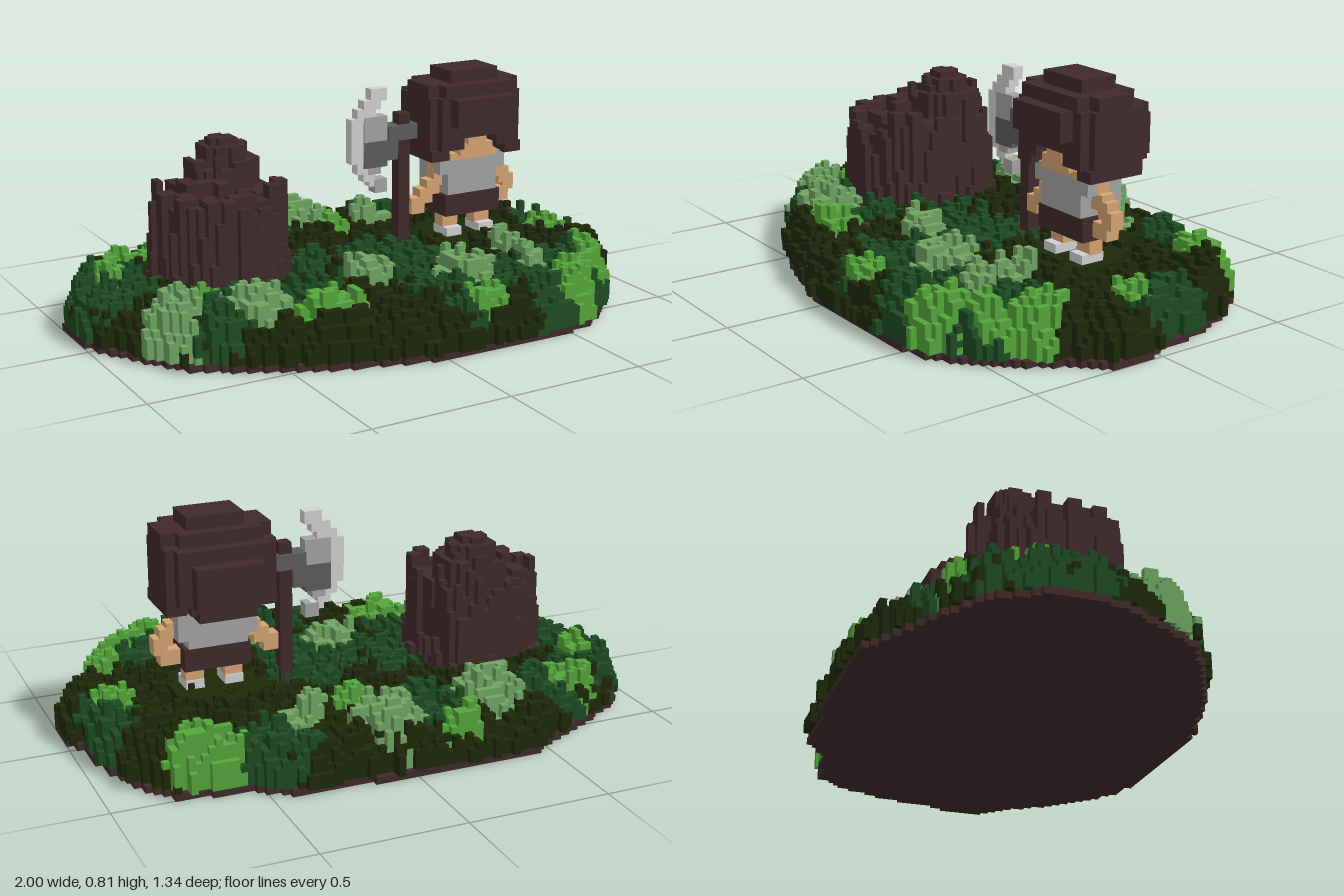
import * as THREE from 'three';
import { mergeGeometries } from 'three/addons/utils/BufferGeometryUtils.js';

const V = 2 / 85, NX = 85, NZ = 57; // voxel size and grid

// outline of the island, x,z pairs
const RIM = [[-.45, -.64], [-.1, -.65], [.2, -.635], [.42, -.62], [.54, -.54], [.78, -.5], [.86, -.39], [.94, -.2], [.95, -.03],
  [1, .04], [1, .18], [.92, .26], [.82, .42], [.7, .54], [.58, .63], [.3, .66], [0, .655], [-.2, .6], [-.4, .54], [-.6, .44],
  [-.78, .33], [-.86, .22], [-.93, .1], [-.98, 0], [-1, -.06], [-1, -.22], [-.9, -.39], [-.76, -.47], [-.6, -.55]];

// foliage clumps: x, z, rx, rz
const GREEN = [[-.85, -.2, .17, .22], [-.6, -.42, .14, .1], [-.13, -.45, .11, .12], [.45, -.5, .14, .1], [.08, .08, .22, .22],
  [-.2, -.02, .12, .14], [-.62, .26, .22, .14], [.13, .42, .15, .18], [.55, .45, .3, .24], [.9, -.1, .1, .16], [-.3, .28, .13, .13]];
const BRIGHT = [[-.7, -.4, .09, .07], [-.83, -.23, .04, .08], [-.19, -.59, .08, .04], [.12, -.35, .06, .07], [.67, -.46, .12, .08],
  [.84, 0, .07, .07], [.79, .35, .07, .1], [-.3, .4, .13, .07], [-.64, .16, .05, .04], [.2, .57, .09, .05], [.57, .55, .09, .08], [.7, .46, .07, .05]];
const PALE = [[-.35, -.46, .11, .1], [.05, -.49, .12, .12], [.3, -.39, .07, .06], [-.78, .22, .09, .12], [-.52, .3, .11, .12],
  [-.04, .2, .1, .07], [.27, .32, .1, .11], [.52, .22, .06, .08], [.52, .36, .05, .06]];

const hash = (i, j) => {
  const s = Math.sin(i * 127.1 + j * 311.7) * 43758.5453;
  return s - Math.floor(s);
};

const noise = (x, z) => { // smooth value noise, 0..1
  const i = Math.floor(x), j = Math.floor(z), f = x - i, g = z - j;
  const u = f * f * (3 - 2 * f), w = g * g * (3 - 2 * g), mix = THREE.MathUtils.lerp;
  return mix(mix(hash(i, j), hash(i + 1, j), u), mix(hash(i, j + 1), hash(i + 1, j + 1), u), w);
};

// distance inside the rim, negative outside
function rimDepth(x, z) {
  let best = 9, inside = false;
  RIM.forEach(([ax, az], n) => {
    const [bx, bz] = RIM[(n + 1) % RIM.length], dx = bx - ax, dz = bz - az;
    const t = THREE.MathUtils.clamp(((x - ax) * dx + (z - az) * dz) / (dx * dx + dz * dz), 0, 1);
    best = Math.min(best, Math.hypot(x - ax - dx * t, z - az - dz * t));
    if (az > z !== bz > z && x < ax + (z - az) * dx / dz) inside = !inside;
  });
  return inside ? best : -best;
}

// strength of the nearest clump, above 0 inside it
const clump = (list, x, z) => Math.max(...list.map(([cx, cz, rx, rz]) => 1 - ((x - cx) / rx) ** 2 - ((z - cz) / rz) ** 2));

// mesh of the exposed voxel faces; cell() gives a material number or -1
function voxelMesh(name, mats, height, cell) {
  const faces = mats.map(() => []), normals = mats.map(() => []);
  for (let i = 0; i < NX; i++) for (let j = 0; j < height; j++) for (let k = 0; k < NZ; k++) {
    const m = cell(i, j, k);
    if (m < 0) continue;
    for (let a = 0; a < 3; a++) for (const s of [1, -1]) {
      const n = [0, 0, 0];
      n[a] = s;
      if (cell(i + n[0], j + n[1], k + n[2]) >= 0) continue;
      const c = [[0, 0], [1, 0], [1, 1], [0, 1]].map(([u, v]) => {
        const p = [i - NX / 2, j, k - NZ / 2];
        p[a] += s > 0 ? 1 : 0;
        p[(a + 1) % 3] += u;
        p[(a + 2) % 3] += v;
        return p.map(q => q * V);
      });
      for (const q of s > 0 ? [0, 1, 2, 0, 2, 3] : [0, 2, 1, 0, 3, 2]) {
        faces[m].push(...c[q]);
        normals[m].push(...n);
      }
    }
  }
  const geo = new THREE.BufferGeometry();
  let start = 0;
  faces.forEach((f, m) => {
    geo.addGroup(start, f.length / 3, m);
    start += f.length / 3;
  });
  geo.setAttribute('position', new THREE.Float32BufferAttribute(faces.flat(), 3));
  geo.setAttribute('normal', new THREE.Float32BufferAttribute(normals.flat(), 3));
  const mesh = new THREE.Mesh(geo, mats);
  mesh.name = name;
  return mesh;
}

// mesh of boxes given as x0, x1, y0, y1, z0, z1
function boxes(name, mat, list) {
  const mesh = new THREE.Mesh(mergeGeometries(list.map(([a, b, c, d, e, f]) =>
    new THREE.BoxGeometry(b - a, d - c, f - e).translate((a + b) / 2, (c + d) / 2, (e + f) / 2))), mat);
  mesh.name = name;
  return mesh;
}

export function createModel() {
  const mat = (name, color) => Object.assign(new THREE.MeshStandardMaterial({ color }), { name });
  const brown = mat('dark brown', 0x402a2c), olive = mat('dark olive', 0x1e290a), green = mat('forest green', 0x1d4b22);
  const bright = mat('bright green', 0x54a63b), pale = mat('pale green', 0x6fa562), skin = mat('skin', 0xd6a473);
  const light = mat('light grey', 0xd2d2d2), grey = mat('mid grey', 0xa4a4a4), dark = mat('dark grey', 0x5d5d5f);
  const group = new THREE.Group();
  group.name = 'forestDiorama';

  // ground: one soil layer, then foliage columns with ragged patches of colour
  const cols = [];
  for (let i = 0; i < NX; i++) for (let k = 0; k < NZ; k++) {
    const x = (i + .5 - NX / 2) * V, z = (k + .5 - NZ / 2) * V;
    const d = rimDepth(x, z);
    const p = clump(PALE, x, z), b = clump(BRIGHT, x, z), g = clump(GREEN, x, z);
    const typeAt = j => {
      const wob = (noise(x * 14 + 50 + j * .35, z * 14 + 50 - j * .2) - .5) * 1.2 + (noise(x * 30 + 9, z * 30 + j * .5) - .5) * .7;
      return p + wob * .7 > 0 ? 3 : b + wob * .75 > 0 ? 2 : g + wob > 0 ? 1 : 0;
    };
    let h = 5.2 + .6 * Math.min(1, d / .3) + (hash(i, k) - .5) * 2.8 + (noise(x * 12, z * 12) - .4) * 2.4;
    h += [0, .4, .8 + Math.min(b, 1), 1 + 2 * Math.min(p, 1)][typeAt(7)];
    h *= Math.min(1, .45 + Math.max(d, 0) / .07);
    if (Math.hypot(x - .48, z + .05) < .17) h = THREE.MathUtils.clamp(h, 6.6, 7.6);
    cols.push({ typeAt, d, top: d > (hash(k, i) - .55) * .035 ? Math.max(1, Math.round(h)) : 0 });
  }
  group.add(voxelMesh('mossyGround', [olive, green, bright, pale, brown], 14, (i, j, k) => {
    if (i < 0 || j < 0 || k < 0 || i >= NX || k >= NZ) return -1;
    const c = cols[i * NZ + k];
    if (j === 0) return c.d > .002 ? 4 : -1;
    return j <= c.top ? c.typeAt(j) : -1;
  }));

  // broken tree stump with ragged strips of bark
  group.add(voxelMesh('treeStump', [brown], 30, (i, j, k) => {
    const x = (i + .5 - NX / 2) * V, z = (k + .5 - NZ / 2) * V, y = (j + .5) * V;
    if (y < .1) return -1;
    const strip = hash(i >> 1, (k >> 1) + 9);
    const r = 1.09 - .36 * (y - .15) + (strip - .5) * .14;
    const body = Math.hypot((x + .495) / .215, (z + .035) / .215) < r;
    const lobe = Math.hypot((x + .375) / .095, (z + .2) / .1) < r - .5 * (y - .2);
    if (!body && !lobe) return -1;
    const peak = Math.hypot(x + .43, z + .15);
    const top = peak < .045 ? .645 : peak < .08 ? .605 : peak < .125 ? .54 + strip * .05 : .43 + strip * .085;
    return y < top ? 0 : -1;
  }));

  // figure
  const figure = new THREE.Group();
  figure.name = 'figure';
  figure.add(boxes('hair', brown, [
    [.4, .6, .765, .81, -.12, .02],
    [.305, .69, .72, .765, -.12, .02], [.35, .64, .72, .765, -.165, .07],
    [.305, .69, .57, .72, -.165, .035], [.335, .66, .57, .72, -.21, .07], [.37, .62, .62, .72, -.21, .12],
    [.38, .615, .53, .67, -.26, -.12], [.4, .6, .48, .53, -.235, -.165],
    [.305, .43, .53, .57, -.165, .035], [.57, .69, .53, .57, -.165, .035],
    [.335, .43, .53, .57, -.21, .07], [.57, .66, .53, .57, -.21, .07],
    [.305, .38, .49, .53, -.165, .05], [.62, .69, .49, .53, -.165, .05],
    [.43, .57, .53, .57, -.21, -.05], [.38, .62, .5, .53, -.21, -.1]]));
  figure.add(boxes('neck', skin, [[.46, .54, .53, .575, -.05, .05], [.43, .57, .5, .54, -.1, .045], [.4, .6, .48, .505, -.1, .026]]));
  figure.add(boxes('shirt', grey, [[.395, .605, .35, .48, -.12, .02],
    [.36, .64, .43, .495, -.02, .02], [.36, .64, .38, .475, -.12, -.072]]));
  figure.add(boxes('trousers', brown, [[.385, .62, .27, .35, -.12, .022]]));
  figure.add(boxes('legs', skin, [[.4, .465, .215, .27, -.075, -.02], [.54, .605, .215, .27, -.075, -.02]]));
  figure.add(boxes('shoes', light, [[.4, .465, .17, .22, -.08, .01], [.54, .605, .17, .22, -.08, .01]]));
  figure.add(boxes('rightArm', skin, [[.36, .4, .435, .5, -.072, -.02], [.36, .41, .38, .435, -.072, -.02],
    [.33, .385, .35, .405, -.072, -.02], [.3, .355, .32, .375, -.072, -.02], [.265, .32, .285, .345, -.072, -.02]]));
  figure.add(boxes('leftArm', skin, [[.6, .64, .435, .5, -.072, -.02], [.61, .665, .38, .435, -.072, -.02],
    [.645, .69, .355, .415, -.072, -.02], [.665, .712, .325, .385, -.072, -.02], [.62, .69, .285, .34, -.072, -.02]]));
  group.add(figure);

  // standing battle axe
  const axe = new THREE.Group();
  axe.name = 'axe';
  const flat = (rows, t) => rows.map(([a, b, c, d]) => [a, b, c, d, -.052 - t, -.052 + t]);
  axe.add(boxes('axeHandle', brown, flat([[.214, .26, .12, .665]], .0235)));
  axe.add(boxes('axeSocket', dark, flat([[.165, .285, .57, .625]], .034)));
  axe.add(boxes('axeCheek', dark, flat([[.165, .21, .5, .57], [.07, .165, .48, .575]], .026)));
  axe.add(boxes('bladeInner', grey, flat([[.07, .12, .5, .665], [.115, .165, .572, .665], [.09, .14, .455, .5], [.115, .165, .385, .435]], .024)));
  axe.add(boxes('bladeEdge', light, flat([[.1, .165, .72, .765], [.07, .14, .69, .725], [.045, .12, .66, .695],
    [.02, .07, .5, .662], [.045, .092, .46, .502], [.07, .118, .43, .462], [.095, .14, .41, .435]], .02)));
  group.add(axe);
  return group;
}
